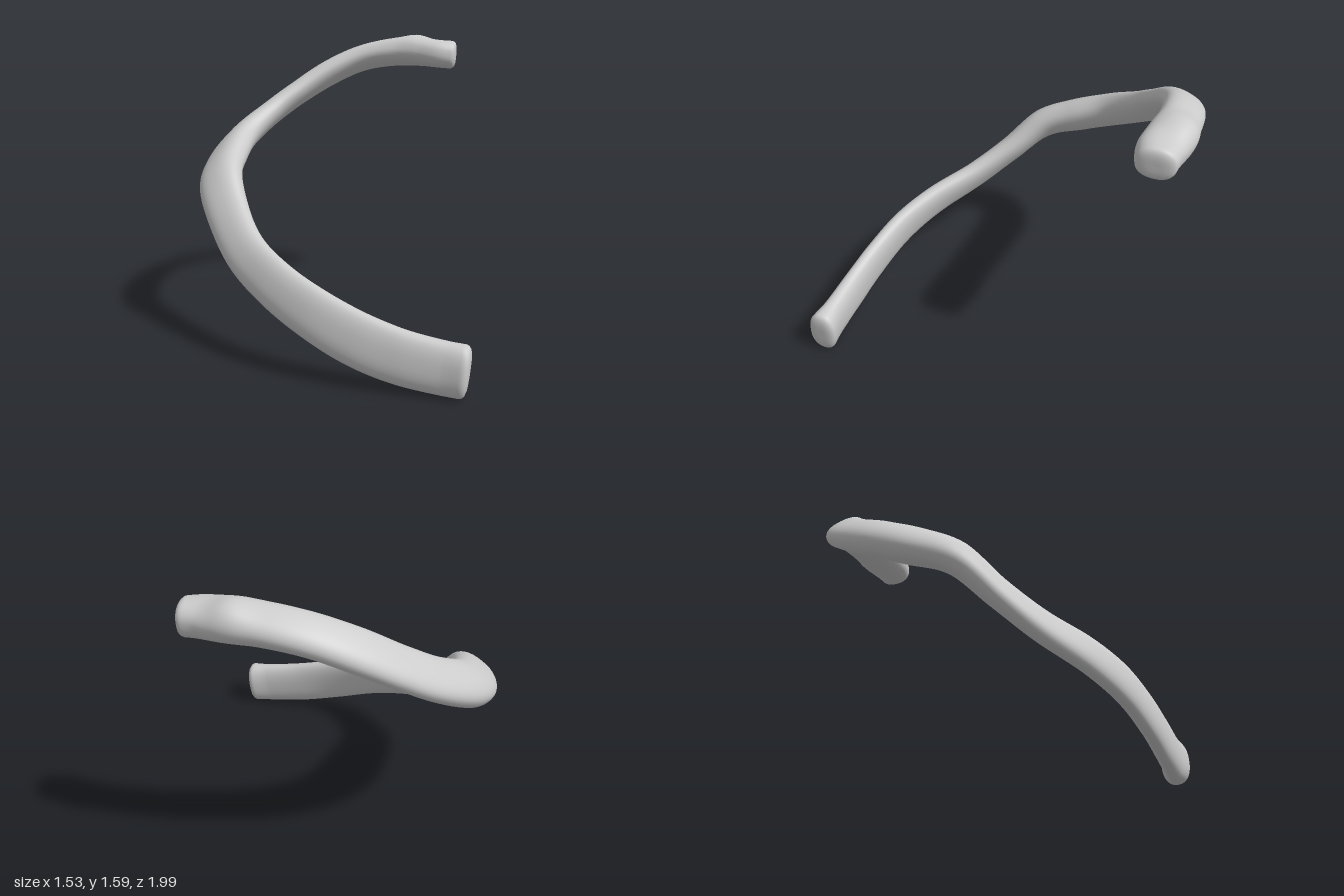
import * as THREE from 'three';

// Stations along the rib: centre x, y, z, half width, half thickness, inward lean in degrees
const STATIONS = [
  [0.495, 0.132, 0.917, 0.128, 0.078, 5],
  [0.40, 0.142, 0.885, 0.130, 0.062, 5],
  [0.20, 0.178, 0.815, 0.134, 0.056, 6],
  [0.00, 0.243, 0.725, 0.134, 0.055, 10],
  [-0.20, 0.335, 0.595, 0.128, 0.056, 15],
  [-0.36, 0.42, 0.43, 0.122, 0.058, 22],
  [-0.505, 0.522, 0.20, 0.118, 0.061, 33],
  [-0.592, 0.658, 0.00, 0.120, 0.066, 45],
  [-0.645, 0.822, -0.20, 0.13, 0.078, 52],
  [-0.618, 0.905, -0.40, 0.138, 0.085, 51],
  [-0.535, 1.0, -0.60, 0.125, 0.080, 49],
  [-0.37, 1.125, -0.76, 0.118, 0.067, 54],
  [-0.20, 1.24, -0.84, 0.115, 0.063, 59],
  [0.00, 1.36, -0.885, 0.112, 0.065, 60],
  [0.20, 1.448, -0.89, 0.106, 0.067, 63],
  [0.40, 1.488, -0.852, 0.104, 0.076, 66],
  [0.55, 1.49, -0.80, 0.112, 0.08, 76],
  [0.65, 1.482, -0.752, 0.108, 0.082, 82],
  [0.725, 1.477, -0.733, 0.095, 0.083, 86],
];
const SIDES = 36, STEPS = 144;
const UP = new THREE.Vector3(0, 1, 0);

const squash = (v) => Math.sign(v) * Math.pow(Math.abs(v), 0.85);

function ribGeometry() {
  const path = new THREE.CatmullRomCurve3(STATIONS.map((s) => new THREE.Vector3(s[0], s[1], s[2])));
  const size = new THREE.CatmullRomCurve3(STATIONS.map((s) => new THREE.Vector3(s[3], s[4], s[5] / 100)));

  // Rings: position on the path, push past the end, shrink; the ends are rounded off
  const cap = [[0.03, 0.0], [0.031, 0.35], [0.029, 0.65], [0.022, 0.86], [0.012, 0.96]];
  const rings = cap.map(([push, k]) => [0, -push, k]);
  for (let i = 0; i <= STEPS; i++) rings.push([i / STEPS, 0, 1]);
  [...cap].reverse().forEach(([push, k]) => rings.push([1, push, k]));

  const bump = new THREE.Vector3(0.54, 1.57, -0.86);
  const pos = [], index = [];
  for (const [t, push, k] of rings) {
    const T = path.getTangent(t);
    const C = path.getPoint(t).addScaledVector(T, push);
    const N = new THREE.Vector3().crossVectors(T, UP).normalize(); // towards the inside of the curve
    const U = new THREE.Vector3().crossVectors(N, T);
    const s = size.getPoint(t);
    const lean = THREE.MathUtils.degToRad(s.z * 100);
    const W = U.clone().multiplyScalar(Math.cos(lean)).addScaledVector(N, Math.sin(lean));
    const M = N.clone().multiplyScalar(Math.cos(lean)).addScaledVector(U, -Math.sin(lean));
    for (let j = 0; j < SIDES; j++) {
      const a = (j / SIDES) * Math.PI * 2;
      const offset = W.clone().multiplyScalar(s.x * k * squash(Math.cos(a)))
        .addScaledVector(M, s.y * k * squash(Math.sin(a)));
      const p = C.clone().add(offset);
      // Small raised knob near the head
      const swell = 0.03 * Math.exp(-p.distanceToSquared(bump) / 0.007);
      p.addScaledVector(offset.normalize(), swell);
      pos.push(p.x, p.y, p.z);
    }
  }
  // Skin between rings; the first and last rings are single points
  for (let i = 0; i < rings.length - 1; i++) {
    for (let j = 0; j < SIDES; j++) {
      const n = (j + 1) % SIDES;
      const a = i * SIDES + j, b = i * SIDES + n, c = b + SIDES, d = a + SIDES;
      if (i > 0) index.push(a, b, c);
      if (i < rings.length - 2) index.push(a, c, d);
    }
  }
  const g = new THREE.BufferGeometry();
  g.setAttribute('position', new THREE.Float32BufferAttribute(pos, 3));
  g.setIndex(index);
  g.computeVertexNormals();
  return g;
}

export function createModel() {
  const group = new THREE.Group();
  group.name = 'ribBone';
  const bone = new THREE.MeshStandardMaterial({ color: 0xcccccc });
  bone.name = 'bone grey';
  const rib = new THREE.Mesh(ribGeometry(), bone);
  rib.name = 'rib';
  group.add(rib);
  return group;
}
